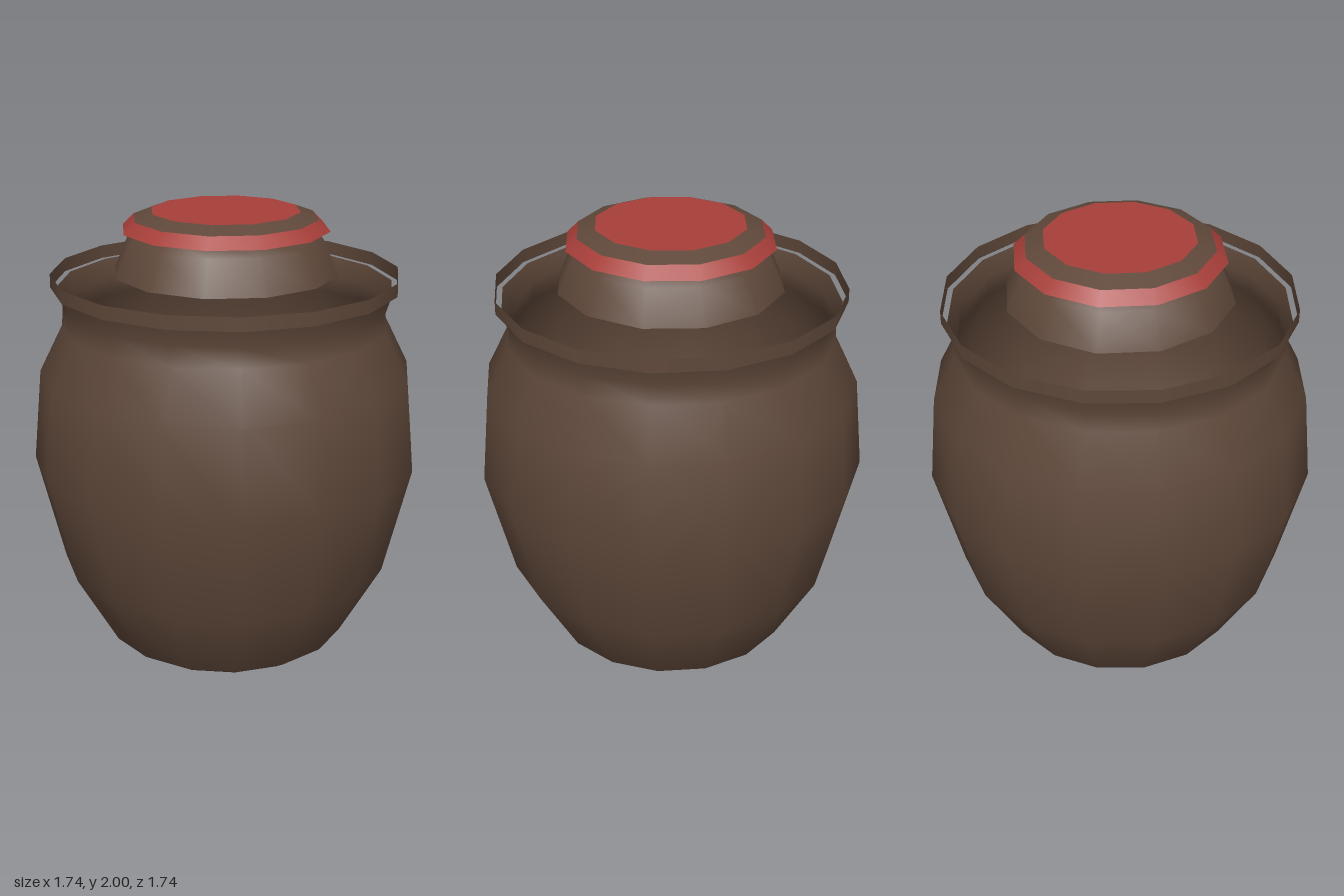
import * as THREE from 'three';

// Turned part from [radius, height] pairs, listed bottom to top
function turned(name, profile, sides, material) {
  const points = profile.map(([r, y]) => new THREE.Vector2(r, y));
  const mesh = new THREE.Mesh(new THREE.LatheGeometry(points, sides), material);
  mesh.name = name;
  return mesh;
}

export function createModel() {
  const clay = new THREE.MeshStandardMaterial({ color: 0x5f483a, side: THREE.DoubleSide });
  clay.name = 'brown clay';
  const red = new THREE.MeshStandardMaterial({ color: 0xa83f3a, side: THREE.DoubleSide });
  red.name = 'red glaze';

  const jar = new THREE.Group();
  jar.name = 'jar';

  // Hollow pot, open at the neck
  jar.add(turned('pot', [
    [0, 0], [0.5, 0], [0.56, 0.04], [0.75, 0.38], [0.87, 0.88],
    [0.83, 1.29], [0.725, 1.5], [0.72, 1.59], [0.745, 1.67],
  ], 16, clay));

  // Thin collar standing just outside the neck
  jar.add(turned('rimBand', [[0.77, 1.67], [0.77, 1.73]], 16, clay));

  // Lid with a flared red ring and a red cap
  const lid = new THREE.Group();
  lid.name = 'lid';
  lid.add(
    turned('lidBase', [[0.5, 1.73], [0.435, 1.88], [0.37, 1.92]], 12, clay),
    turned('lidRingUnderside', [[0.37, 1.92], [0.46, 1.92]], 12, red),
    turned('lidRing', [[0.46, 1.92], [0.41, 1.97]], 12, red),
    turned('lidShoulder', [[0.41, 1.97], [0.33, 2]], 12, clay),
    turned('lidCap', [[0.33, 2], [0, 2]], 12, red),
  );
  jar.add(lid);
  return jar;
}
